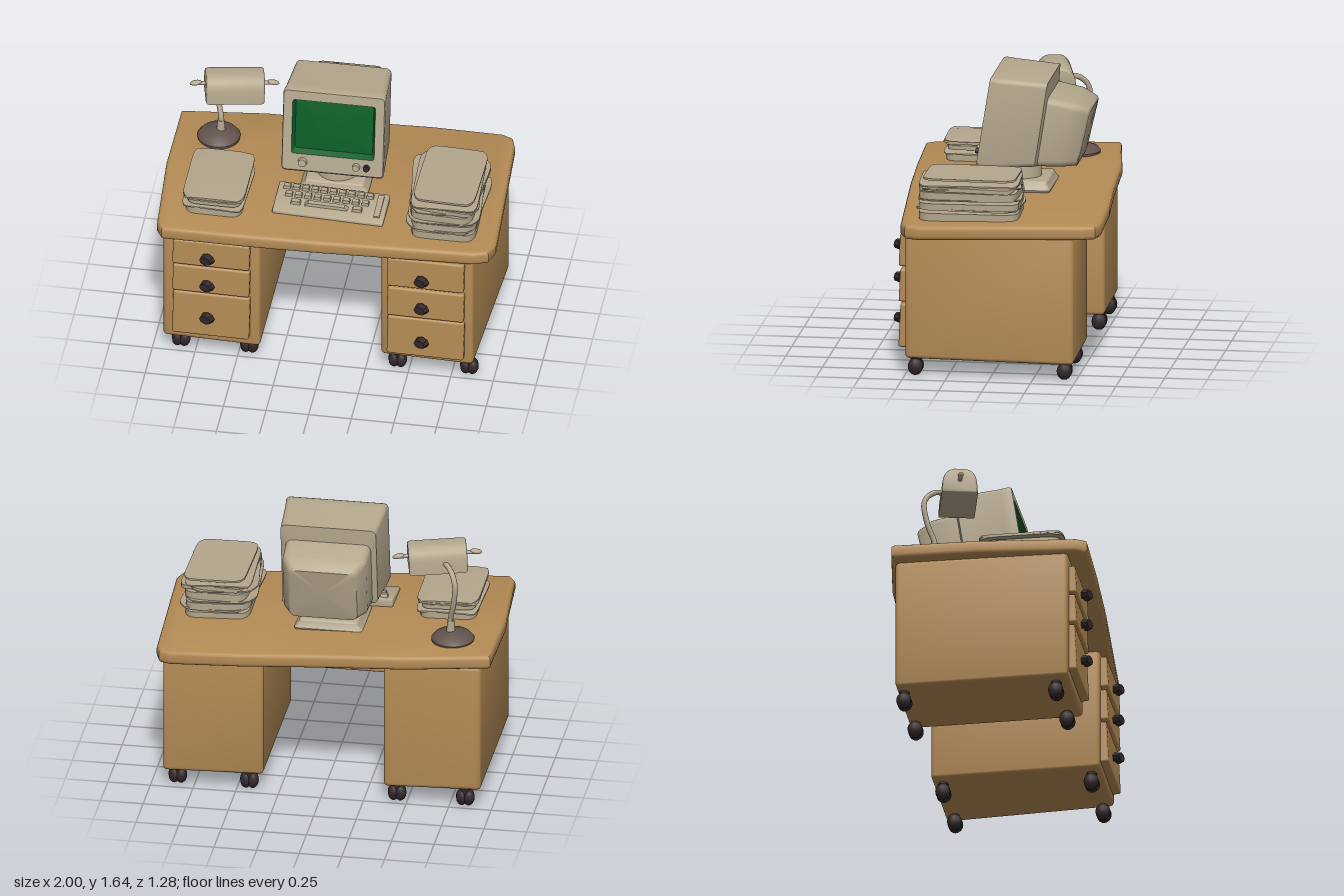
import * as THREE from 'three';
import { toCreasedNormals } from 'three/addons/utils/BufferGeometryUtils.js';
import { RoundedBoxGeometry } from 'three/addons/geometries/RoundedBoxGeometry.js';

const mat = (name, color) => Object.assign(new THREE.MeshStandardMaterial({ color }), { name });

export function createModel() {
  const wood = mat('wood', 0xb48b55);
  const beige = mat('beige', 0xb5a88e);
  const paper = mat('paper', 0xb3a68d);
  const dark = mat('darkPlastic', 0x32272a);
  const baseGrey = mat('lampBaseBrown', 0x62544e);
  const green = mat('screenGreen', 0x0c5e28);

  const root = new THREE.Group();
  root.name = 'computerDesk';

  const add = (name, geo, material, x = 0, y = 0, z = 0, parent = root) => {
    const m = new THREE.Mesh(geo, material);
    m.name = name;
    m.position.set(x, y, z);
    parent.add(m);
    return m;
  };
  const group = (name, x = 0, y = 0, z = 0) => {
    const g = new THREE.Group();
    g.name = name;
    g.position.set(x, y, z);
    root.add(g);
    return g;
  };
  // Move every vertex by a rule, then refresh the normals
  const warp = (geo, rule, crease = 0.6) => {
    const p = geo.attributes.position, v = new THREE.Vector3();
    for (let i = 0; i < p.count; i++) {
      rule(v.fromBufferAttribute(p, i));
      p.setXYZ(i, v.x, v.y, v.z);
    }
    return toCreasedNormals(geo, crease);
  };
  const deskY = (x, z) => 0.95 - 0.03 * x - 0.02 * z;

  // Desk top: skewed, sloping slab with rounded edges
  const outline = [[-0.97, -0.48], [-0.5, -0.55], [0, -0.575], [0.45, -0.61], [0.86, -0.62], [0.91, -0.6], [0.93, -0.54],
    [0.975, 0.4], [0.95, 0.47], [0.88, 0.5], [0.5, 0.53], [0, 0.57], [-0.45, 0.595], [-0.91, 0.61], [-0.935, 0.57], [-0.975, 0]];
  const slab = new THREE.ExtrudeGeometry(
    new THREE.Shape(outline.map(([x, z]) => new THREE.Vector2(x, -z))),
    { depth: 0.035, bevelEnabled: true, bevelSize: 0.025, bevelThickness: 0.025, bevelSegments: 4 });
  slab.rotateX(-Math.PI / 2);
  add('deskTop', warp(slab, v => { v.y += deskY(v.x, v.z) - 0.06; }), wood);

  // Pedestals with drawers, knobs and casters
  const pedestals = [
    { side: 'right', x0: -0.935, x1: -0.365, front: 0.52, flare: 0, cx: -0.647, wheels: [-0.84, -0.44], backZ: -0.45,
      drawers: [[0.66, 0.83, 0.735], [0.47, 0.65, 0.545], [0.17, 0.46, 0.315]] },
    { side: 'left', x0: 0.34, x1: 0.93, front: 0.5, flare: 0.05, cx: 0.607, wheels: [0.43, 0.85], backZ: -0.43,
      drawers: [[0.635, 0.83, 0.71], [0.425, 0.62, 0.515], [0.155, 0.415, 0.275]] },
  ];
  for (const p of pedestals) {
    const w = p.x1 - p.x0, d = p.front + 0.49, mid = (p.x0 + p.x1) / 2;
    const box = new RoundedBoxGeometry(w, 0.79, d, 3, 0.025);
    add(p.side + 'Pedestal', warp(box, v => {
      if (v.x > 0) v.x -= p.flare * (v.z / d + 0.5);
      v.y -= 0.03 * v.x;
    }), wood, mid, 0.5, (p.front - 0.49) / 2);

    p.drawers.forEach(([y0, y1, ky], i) => {
      const z = p.front + 0.005;
      const drawer = add(`${p.side}Drawer${i + 1}`, new RoundedBoxGeometry(0.45, y1 - y0, 0.07, 3, 0.014), wood, p.cx, (y0 + y1) / 2, z);
      drawer.rotation.set(-0.05, 0, -0.015);
      const stem = new THREE.CylinderGeometry(0.022, 0.022, 0.05, 8).rotateX(Math.PI / 2);
      add('knobStem', stem, dark, p.cx - 0.02, ky, z + 0.045);
      const head = new THREE.CylinderGeometry(0.032, 0.04, 0.035, 8).rotateZ(Math.PI / 8).rotateX(Math.PI / 2).scale(1.15, 0.85, 1);
      add('knobHead', toCreasedNormals(head, 0.4), dark, p.cx - 0.02, ky, z + 0.07);
    });

    for (const x of p.wheels) for (const z of [0.44, p.backZ]) {
      const caster = group('caster', x, 0.052, z);
      for (const s of [-1, 1])
        add('wheel', new THREE.SphereGeometry(0.05, 10, 8).scale(0.7, 1.03, 0.9), dark, s * 0.02, 0, 0, caster);
      add('casterStem', new THREE.CylinderGeometry(0.03, 0.03, 0.06, 8), dark, 0, 0.045, 0, caster);
    }
  }
  // Front panel and rear rail between the pedestals
  add('centrePanel', new RoundedBoxGeometry(0.74, 0.26, 0.06, 3, 0.015), wood, -0.01, 0.74, 0.16);
  add('rearRail', new RoundedBoxGeometry(0.74, 0.09, 0.06, 3, 0.015), wood, -0.01, 0.725, -0.16);

  // Loft through rounded rectangles [halfWidth, yBottom, yTop, zBottom, zTop, radius], listed back to front
  const loft = (sections, capBack, capFront) => {
    const pos = [], idx = [], n = 20;
    const corners = [[1, -1], [1, 1], [-1, 1], [-1, -1]];
    for (const [hw, yb, yt, zb, zt, r] of sections) {
      corners.forEach(([sx, sy], c) => {
        for (let k = 0; k < 5; k++) {
          const a = (c - 1 + k / 4) * Math.PI / 2;
          const x = sx * (hw - r) + r * Math.cos(a);
          const y = (sy > 0 ? yt - r : yb + r) + r * Math.sin(a);
          pos.push(x, y, zb + (zt - zb) * (y - yb) / (yt - yb));
        }
      });
    }
    const last = (sections.length - 1) * n;
    for (let i = 0; i < last; i += n) for (let j = 0; j < n; j++) {
      const k = (j + 1) % n;
      idx.push(i + j, i + k, i + n + j, i + k, i + n + k, i + n + j);
    }
    const cap = (s, start, flip) => {
      const c = pos.length / 3;
      pos.push(0, (s[1] + s[2]) / 2, (s[3] + s[4]) / 2);
      for (let j = 0; j < n; j++) {
        const k = (j + 1) % n;
        idx.push(...(flip ? [start + k, start + j, c] : [start + j, start + k, c]));
      }
    };
    if (capBack) cap(sections[0], 0, true);
    if (capFront) cap(sections.at(-1), last, false);
    const g = new THREE.BufferGeometry();
    g.setAttribute('position', new THREE.Float32BufferAttribute(pos, 3));
    g.setIndex(idx);
    return toCreasedNormals(g, 0.7);
  };

  // Monitor: tapered tube housing, main body, bezel and sunken screen
  const faceZ = y => 0.17 - 0.16 * (y - 1.11);
  const face = (hw, yb, yt, r, back = 0) => [hw, yb, yt, faceZ(yb) - back, faceZ(yt) - back, r];
  add('monitorBody', loft([
    [0.18, 1.13, 1.44, -0.413, -0.485, 0.03],
    [0.2, 1.11, 1.455, -0.405, -0.475, 0.04],
    [0.245, 1.11, 1.49, -0.32, -0.39, 0.04],
    [0.25, 1.11, 1.52, -0.18, -0.245, 0.04],
    [0.28, 1.115, 1.613, -0.17, -0.247, 0.03],
    face(0.295, 1.1, 1.635, 0.03, 0.07),
    face(0.3, 1.115, 1.64, 0.025, 0.015),
    face(0.295, 1.13, 1.635, 0.022),
    face(0.243, 1.235, 1.578, 0.015),
  ], true, false), beige);
  add('screen', loft([
    face(0.243, 1.235, 1.578, 0.015),
    face(0.228, 1.25, 1.562, 0.015, 0.035),
    face(0.15, 1.31, 1.5, 0.015, 0.03),
  ], false, true), green);
  for (const [x, r, m] of [[-0.175, 0.028, beige], [0.14, 0.023, beige], [0.2, 0.02, dark]]) {
    const dial = new THREE.CylinderGeometry(r * 0.85, r, 0.03, 16).rotateX(Math.PI / 2 - 0.16);
    add('monitorDial', dial, m, x, 1.187, faceZ(1.187) + 0.01);
  }
  add('monitorNeck', new THREE.CylinderGeometry(0.115, 0.13, 0.16, 20), beige, 0, 1.06, -0.05);
  const foot = new RoundedBoxGeometry(0.4, 0.07, 0.36, 3, 0.02);
  add('monitorFoot', warp(foot, v => { if (v.y > 0) { v.x *= 0.88; v.z *= 0.9; } }), beige, 0, 0.975, -0.07);

  // Keyboard: wedge case with rows of keys
  const keyboard = group('keyboard', 0.005, 0.94, 0.245);
  keyboard.rotation.set(0.02, -0.01, -0.03);
  const caseTop = z => 0.04 - 0.12 * z;
  const wedge = new RoundedBoxGeometry(0.65, 0.06, 0.25, 2, 0.01);
  add('keyboardCase', warp(wedge, v => { v.y = v.y > 0 ? caseTop(v.z) + v.y - 0.03 : v.y + 0.03; }), beige, 0, 0, 0, keyboard);
  const key = (x, z, w) => {
    const k = new THREE.BoxGeometry(w, 0.022, 0.036);
    add('key', warp(k, v => { if (v.y > 0) { v.x *= 0.82; v.z *= 0.75; } }), beige, x, caseTop(z) + 0.008, z, keyboard).rotation.x = 0.12;
  };
  for (let i = 0; i < 10; i++) key(-0.27 + i * 0.054, -0.08, 0.045);
  for (let i = 0; i < 9; i++) key(-0.25 + i * 0.056, -0.02, 0.045);
  for (let i = 0; i < 3; i++) key(-0.2 + i * 0.18, 0.04, i === 1 ? 0.26 : 0.06);
  add('keyboardSidePanel', new THREE.BoxGeometry(0.035, 0.012, 0.18), beige, 0.28, 0.045, -0.01, keyboard).rotation.x = 0.12;

  // Paper stacks: layers [y, thickness, width, depth, turn, curl, dx, dz]
  const stack = (name, x, z, layers) => {
    const g = group(name, x, 0, z);
    for (const [y, h, w, d, turn, curl, dx = 0, dz = 0] of layers) {
      const geo = new THREE.BoxGeometry(w, h, d, 10, 1, 10);
      const rule = v => {
        const u = Math.abs(v.x) * 2 / w, t = Math.abs(v.z) * 2 / d;
        const cut = Math.max(0, u + t - 1.75) * 0.35;
        v.x *= 1 - cut;
        v.z *= 1 - cut;
        v.y += curl * (u ** 4 + 0.4 * t ** 4);
      };
      const m = add('paperLayer', warp(geo, rule), paper, dx, y, dz, g);
      m.rotation.set(0, turn, -0.02);
    }
  };
  stack('rightPaperStack', -0.655, 0.225, [
    [0.985, 0.045, 0.33, 0.47, 0.01, 0],
    [1.017, 0.008, 0.36, 0.49, -0.03, -0.012],
    [1.04, 0.025, 0.32, 0.46, 0.02, 0],
    [1.063, 0.01, 0.36, 0.5, 0, 0.012],
    [1.082, 0.014, 0.36, 0.49, 0.01, -0.012],
  ]);
  stack('leftPaperStack', 0.68, 0.14, [
    [0.945, 0.045, 0.38, 0.58, 0.02, 0],
    [0.975, 0.01, 0.41, 0.59, -0.07, 0.015],
    [1.005, 0.04, 0.38, 0.58, 0.03, 0],
    [1.035, 0.008, 0.42, 0.6, 0.08, 0.012, -0.01],
    [1.065, 0.045, 0.37, 0.57, -0.03, 0],
    [1.095, 0.008, 0.4, 0.58, 0.13, 0.015, -0.015],
    [1.118, 0.025, 0.38, 0.56, -0.08, -0.01, 0.01],
    [1.142, 0.008, 0.39, 0.58, 0.04, -0.012],
    [1.165, 0.012, 0.36, 0.54, -0.02, 0, 0.01, -0.01],
  ]);

  // Desk lamp: domed foot, bent arm, half-round shade with end knobs
  const dome = [[0, 0], [0.122, 0], [0.125, 0.02], [0.105, 0.045], [0.05, 0.06], [0.022, 0.068], [0, 0.068]];
  add('lampBase', toCreasedNormals(new THREE.LatheGeometry(dome.map(p => new THREE.Vector2(...p)), 28), 0.7), baseGrey, -0.74, 0.97, -0.29);
  const arm = new THREE.CatmullRomCurve3([[-0.73, 1.01, -0.29], [-0.725, 1.1, -0.29], [-0.75, 1.22, -0.33], [-0.76, 1.36, -0.345],
    [-0.72, 1.43, -0.29], [-0.64, 1.44, -0.19]].map(p => new THREE.Vector3(...p)));
  add('lampArm', new THREE.TubeGeometry(arm, 32, 0.016, 10), beige);
  add('lampCollar', new THREE.CylinderGeometry(0.02, 0.027, 0.08, 12), beige, -0.728, 1.06, -0.29);

  const head = group('lampHead', -0.628, 1.46, -0.17);
  head.rotation.set(0, 0.23, -0.04);
  const arch = new THREE.Shape();
  arch.moveTo(-0.105, -0.08);
  arch.lineTo(0.105, -0.08);
  arch.lineTo(0.1, 0.0);
  arch.quadraticCurveTo(0.09, 0.07, 0.03, 0.078);
  arch.lineTo(-0.03, 0.078);
  arch.quadraticCurveTo(-0.09, 0.07, -0.1, 0);
  const shade = new THREE.ExtrudeGeometry(arch, { depth: 0.3, curveSegments: 8, bevelEnabled: true, bevelSize: 0.012, bevelOffset: -0.012, bevelThickness: 0.02, bevelSegments: 3 });
  shade.translate(0, 0, -0.15).rotateY(Math.PI / 2);
  add('lampShade', toCreasedNormals(shade, 0.7), beige, 0, 0, 0, head);
  for (const s of [-1, 1]) {
    add('shadeSpindle', new THREE.CylinderGeometry(0.012, 0.012, 0.08, 10).rotateZ(Math.PI / 2), beige, s * 0.19, 0, 0, head);
    const knob = add('shadeKnob', new THREE.SphereGeometry(0.02, 12, 8).scale(1.8, 0.75, 0.9), beige, s * 0.225, 0.003, 0, head);
    knob.rotation.z = s * -0.2;
  }

  return root;
}
